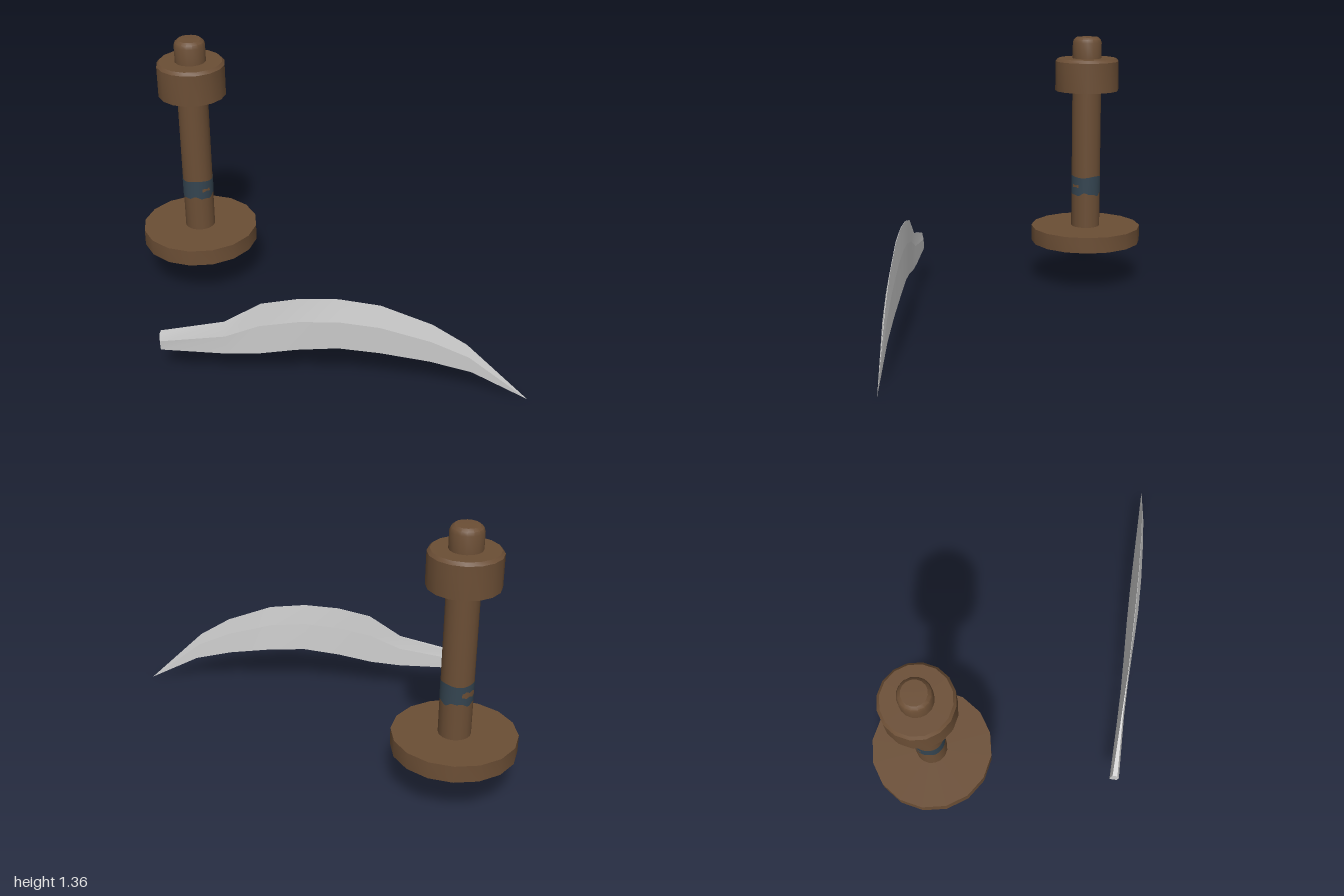
import * as THREE from 'three';
import { toCreasedNormals } from 'three/addons/utils/BufferGeometryUtils.js';

const SIDES = 16;
const mat = (name, color, side = THREE.DoubleSide) => {
  const m = new THREE.MeshStandardMaterial({ color, side });
  m.name = name;
  return m;
};

function createMesh(name, geometry, material) {
  const m = new THREE.Mesh(geometry, material);
  m.name = name;
  return m;
}

// turned part from [radius, height] points, smooth around, sharp at the rims
function turned(name, points, material) {
  const g = new THREE.LatheGeometry(points.map(p => new THREE.Vector2(...p)), SIDES);
  return createMesh(name, toCreasedNormals(g, 0.6), material);
}

// smooth sheet between two rows of points
function sheet(rowA, rowB) {
  const pos = [], idx = [];
  rowA.forEach((a, i) => {
    pos.push(...a, ...rowB[i]);
    if (i) {
      const k = i * 2;
      idx.push(k - 2, k - 1, k, k - 1, k + 1, k);
    }
  });
  const g = new THREE.BufferGeometry();
  g.setAttribute('position', new THREE.Float32BufferAttribute(pos, 3));
  g.setIndex(idx);
  g.computeVertexNormals();
  return g;
}

// thin wrap around the shaft, angle measured from +z towards +x
function wrap(radius, from, to, steps, top, bottom) {
  const rows = [[], []];
  for (let i = 0; i <= steps; i++) {
    const a = from + (to - from) * i / steps;
    [top, bottom].forEach((h, k) => rows[k].push([radius * Math.sin(a), h(a), radius * Math.cos(a)]));
  }
  return sheet(rows[0], rows[1]);
}

function createHandle(wood, paint) {
  const handle = new THREE.Group();
  handle.name = 'handle';
  handle.position.set(-0.7, 0, -0.325);

  // hollow guard disc, open underneath
  handle.add(turned('guardDisc', [[0.3, 0.23], [0.3, 0.315], [0, 0.315]], wood));
  handle.add(turned('shaft', [[0.078, 0.27], [0.078, 1.24]], wood));
  // hollow collar, open underneath
  handle.add(turned('collar', [[0.171, 1.067], [0.171, 1.226], [0.158, 1.241], [0.07, 1.241]], wood));
  handle.add(turned('pommel', [[0.078, 1.24], [0.078, 1.325], [0.072, 1.342], [0.058, 1.354], [0, 1.355]], wood));

  // painted band with ragged edges and worn patches
  const top = a => 0.597 + 0.004 * Math.sin(3 * a + 1);
  const bottom = a => 0.5 + 0.007 * Math.sin(4 * a + 1.6) + 0.004 * Math.cos(9 * a);
  handle.add(createMesh('paintedBand', wrap(0.079, 0, Math.PI * 2, 48, top, bottom), paint));
  [[0.75, 0.28, 0.546, 0.009], [3.93, 0.5, 0.55, 0.018]].forEach(([mid, half, y, h]) => {
    const ragged = s => a => y + s * h * (0.75 + 0.25 * Math.sin(14 * a));
    handle.add(createMesh('wornPatch', wrap(0.0805, mid - half, mid + half, 8, ragged(1), ragged(-1)), wood));
  });
  return handle;
}

function createBlade(steel) {
  const blade = new THREE.Group();
  blade.name = 'blade';
  // stations: top x, top y, bottom x, bottom y, half thickness, half width of spine
  const stations = [
    [-0.71, 0.263, -0.71, 0.173, 0.023, 0.012],
    [-0.405, 0.34, -0.405, 0.167, 0.014, 0.003],
    [-0.235, 0.452, -0.25, 0.178, 0.012, 0.001],
    [-0.06, 0.49, -0.07, 0.215, 0.017, 0.001],
    [0.12, 0.5, 0.12, 0.24, 0.023, 0.001],
    [0.31, 0.478, 0.31, 0.227, 0.023, 0.001],
    [0.545, 0.39, 0.54, 0.193, 0.018, 0.001],
    [0.705, 0.29, 0.735, 0.143, 0.012, 0.001],
    [1, 0, 1, 0, 0, 0],
  ];
  const sections = stations.map(([tx, ty, bx, by, t, w]) => {
    const at = (f, z) => [tx + (bx - tx) * f, ty + (by - ty) * f, 0.599 + z];
    return [at(0, w), at(0.42, t), at(1, t * 0.7), at(1, -t * 0.9), at(0.42, -t * 0.5 - w * 0.7), at(0, -w)];
  });
  const names = ['frontBevel', 'frontFace', 'underside', 'backFace', 'backBevel', 'spine'];
  names.forEach((name, k) => {
    const row = i => sections.map(s => s[i % 6]);
    blade.add(createMesh(name, sheet(row(k), row(k + 1)), steel));
  });
  // flat end where the blade meets the handle
  const [a, b, c, d, e, f] = sections[0];
  blade.add(createMesh('bladeEnd', sheet([a, b, c], [f, e, d]), steel));
  return blade;
}

export function createModel() {
  const wood = mat('brown wood', 0x6b4e35);
  const paint = mat('dark blue paint', 0x344450);
  const steel = mat('pale steel', 0xcccccc);
  const model = new THREE.Group();
  model.name = 'dismantledSword';
  model.add(createHandle(wood, paint), createBlade(steel));
  return model;
}
